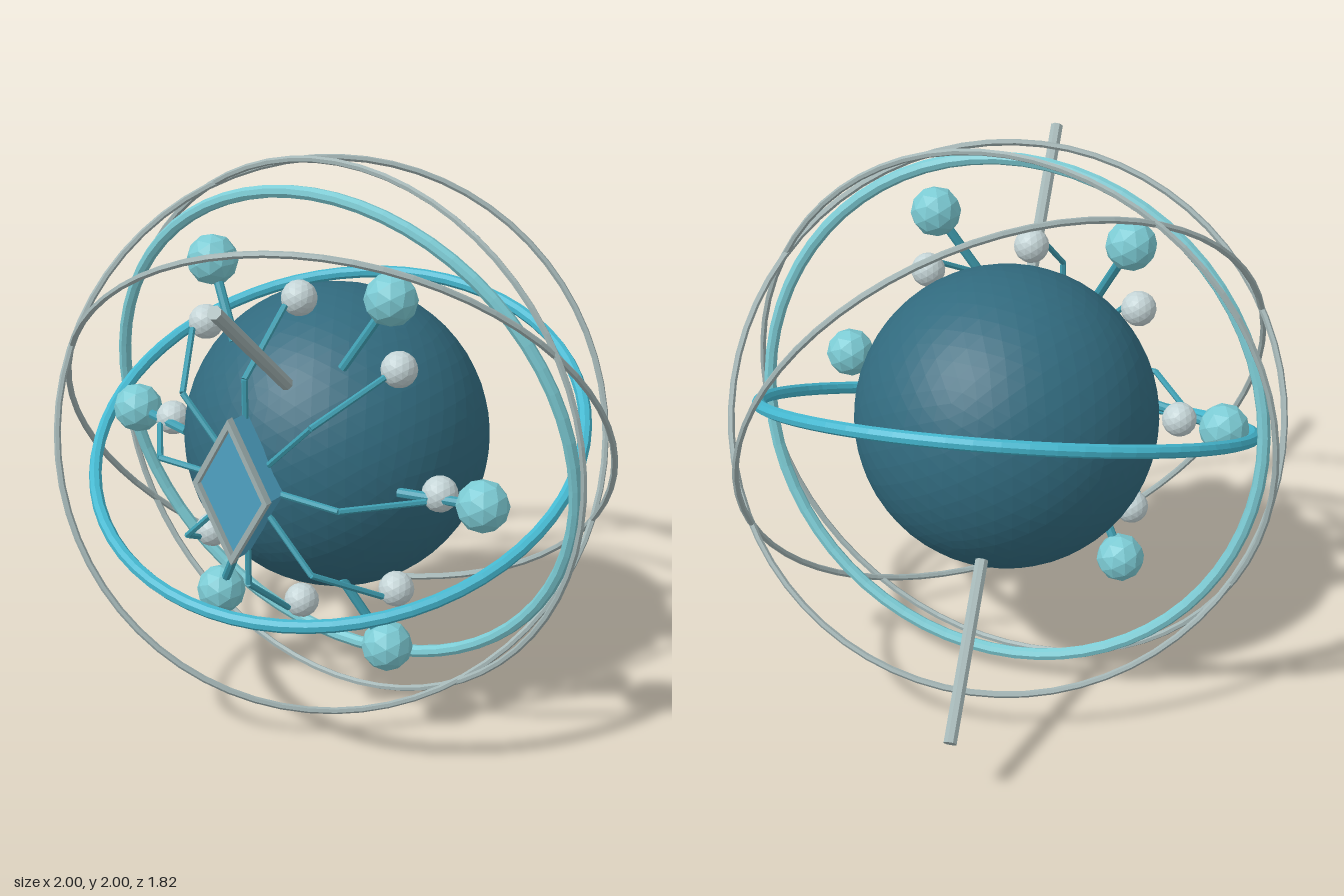
import * as THREE from 'three';

const mat = (name, color) => {
  const m = new THREE.MeshStandardMaterial({ color, flatShading: true });
  m.name = name;
  return m;
};

export function createModel() {
  const darkTeal = mat('dark teal', 0x316a7e);
  const teal = mat('teal', 0x3f9fb2);
  const cyan = mat('bright cyan', 0x45b8d0);
  const paleCyan = mat('pale cyan', 0x7ccbd4);
  const white = mat('pale grey', 0xc4d4d6);
  const metal = mat('metal grey', 0xa3b5b5);
  const blue = mat('gem blue', 0x4fa3c4);

  const model = new THREE.Group();
  const body = new THREE.Group();
  body.name = 'orrery';
  body.position.y = 1;
  model.add(body);

  const add = (name, geometry, material, position) => {
    const mesh = new THREE.Mesh(geometry, material);
    mesh.name = name;
    if (position) mesh.position.copy(position);
    body.add(mesh);
    return mesh;
  };

  // Straight bar between two points
  const bar = (name, a, b, radius, material, sides = 8) => {
    const dir = b.clone().sub(a);
    const mesh = add(name, new THREE.CylinderGeometry(radius, radius, dir.length(), sides), material,
      a.clone().add(b).multiplyScalar(0.5));
    mesh.quaternion.setFromUnitVectors(new THREE.Vector3(0, 1, 0), dir.normalize());
  };

  // Ring whose plane is given by its normal
  const ring = (name, radius, tube, normal, material, sides) => {
    const mesh = add(name, new THREE.TorusGeometry(radius, tube, sides, 64), material);
    mesh.quaternion.setFromUnitVectors(new THREE.Vector3(0, 0, 1), new THREE.Vector3(...normal).normalize());
  };

  // Point around the front-back axis
  const polar = (angle, r, z) => new THREE.Vector3(Math.cos(angle) * r, Math.sin(angle) * r, z);

  // Core and its tilted axle
  add('core', new THREE.IcosahedronGeometry(0.54, 9), darkTeal);
  const axleEnd = new THREE.Vector3(0.18, 0.75, 0.895);
  bar('axle', axleEnd.clone().negate(), axleEnd, 0.024, metal);

  // Orbit rings
  ring('uprightRing', 0.925, 0.023, [0.065, -0.165, 1], paleCyan, 8);
  ring('levelRing', 0.875, 0.023, [0.1, 1, 0.42], cyan, 8);
  ring('thinRingUpright', 0.986, 0.012, [0, 0, 1], metal, 6);
  ring('thinRingSteep', 0.982, 0.012, [0.633, 0.4, 0.657], metal, 6);
  ring('thinRingLeaning', 0.982, 0.012, [0.305, -0.542, 0.784], metal, 6);

  // Eight bent legs, each with a small ball
  for (let i = 0; i < 8; i++) {
    const a = (i * Math.PI) / 4;
    const knee = polar(a, 0.375, 0.525);
    bar('legInner', polar(a, 0.05, 0.525), knee, 0.011, teal, 6);
    bar('legOuter', knee, polar(a, 0.566, 0.3), 0.011, teal, 6);
    add('smallBall', new THREE.IcosahedronGeometry(0.062, 2), white, polar(a, 0.57, 0.22));
  }

  // Six struts, each with a large ball
  for (let i = 0; i < 6; i++) {
    const a = (i * Math.PI) / 3;
    const end = polar(a, 0.735, 0.22);
    bar('strut', polar(a, 0.45, 0.29), end, 0.017, teal);
    add('largeBall', new THREE.IcosahedronGeometry(0.09, 1), paleCyan, end);
  }

  // Diamond plate on the front, edged with a frame
  const corners = [[0.15, 0], [0, 0.255], [-0.15, 0], [0, -0.255]];
  const outline = (s) => corners.map(([x, y]) => new THREE.Vector2(x * s, y * s));
  const plate = new THREE.Shape(outline(1));
  add('diamondPlate', new THREE.ExtrudeGeometry(plate, { depth: 0.085, bevelEnabled: false }), blue,
    new THREE.Vector3(0, 0, 0.515));
  const frame = new THREE.Shape(outline(1.04));
  frame.holes.push(new THREE.Path(outline(0.9)));
  add('diamondFrame', new THREE.ExtrudeGeometry(frame, { depth: 0.026, bevelEnabled: false }), metal,
    new THREE.Vector3(0, 0, 0.594));

  return model;
}
